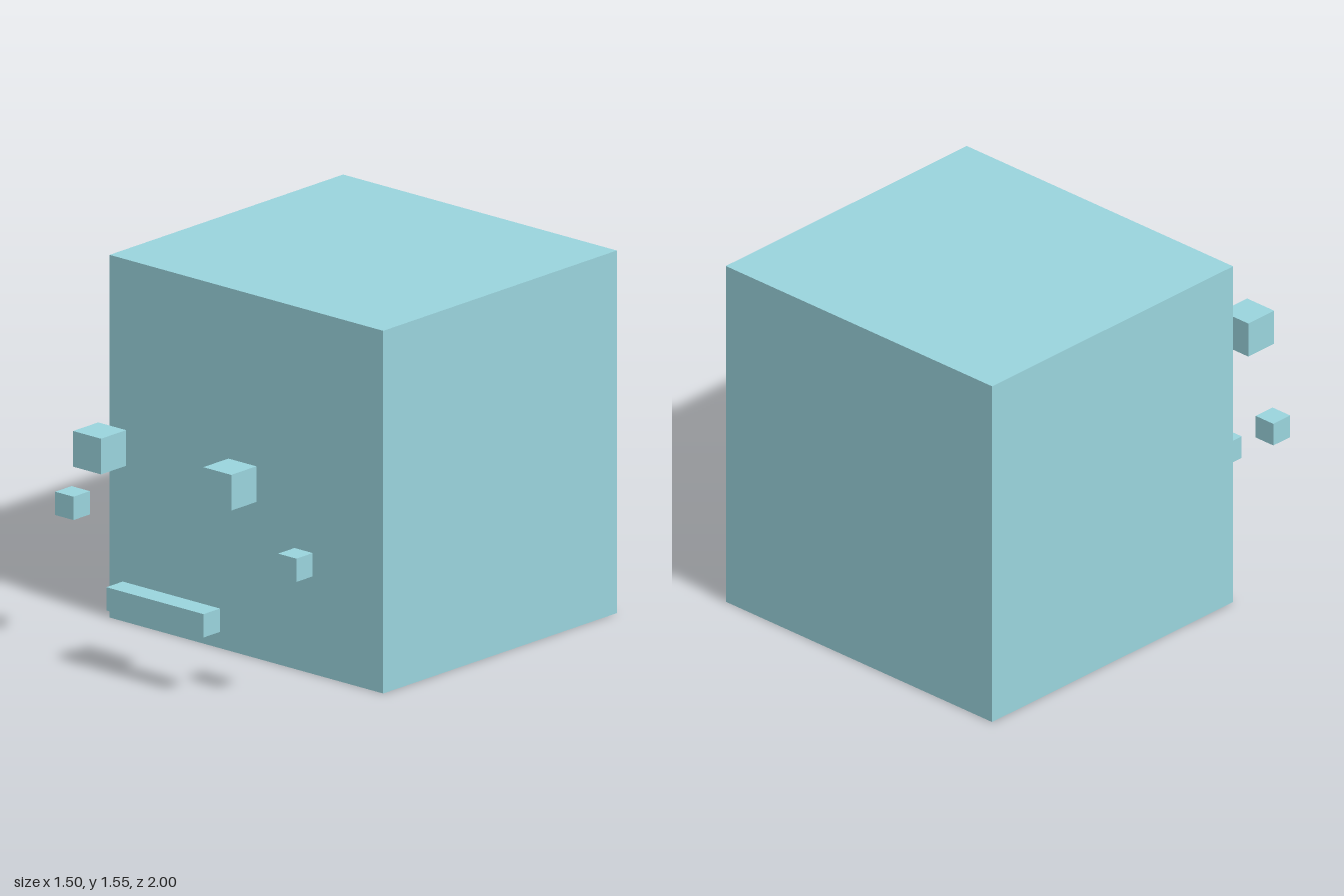
import * as THREE from 'three';

export function createModel() {
  const model = new THREE.Group();
  const material = new THREE.MeshStandardMaterial({ color: 0x9ad4dd });

  const addBox = (name, size, position) => {
    const mesh = new THREE.Mesh(new THREE.BoxGeometry(...size), material);
    mesh.name = name;
    mesh.position.set(...position);
    model.add(mesh);
  };

  // Large block head
  addBox('head', [1.5, 1.555, 1.425], [0, 0.7775, -0.2875]);

  // Floating eyes and cheeks, mirrored left and right
  for (const [side, s] of [['left', 1], ['right', -1]]) {
    addBox(side + 'Eye', [0.153, 0.153, 0.153], [s * 0.357, 0.931, 0.9235]);
    addBox(side + 'Cheek', [0.1, 0.1, 0.1], [s * 0.611, 0.613, 0.806]);
  }

  // Floating bar mouth
  addBox('mouth', [0.533, 0.1, 0.1], [0, 0.32, 0.933]);

  return model;
}
